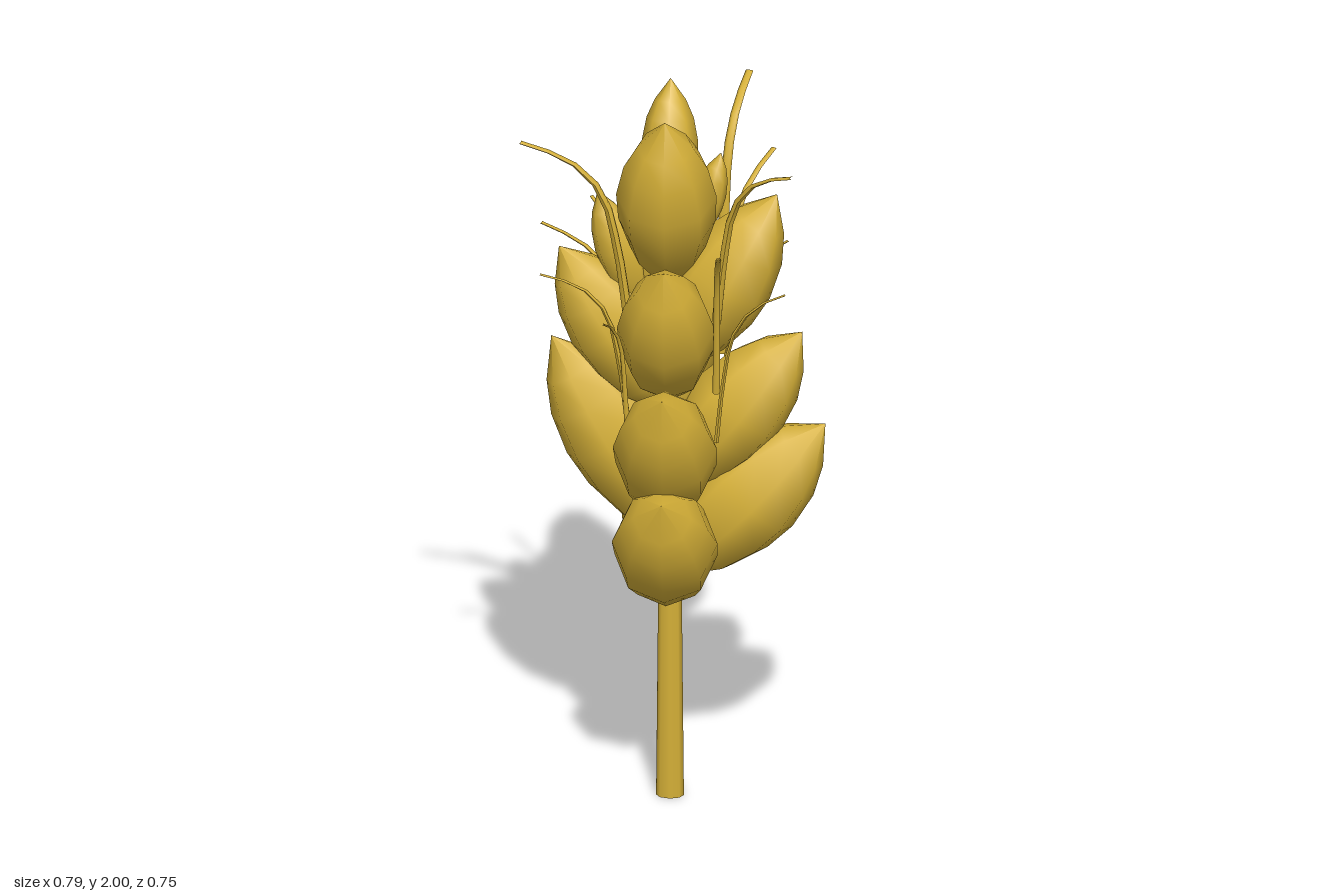
import * as THREE from 'three';

const golden = new THREE.MeshStandardMaterial({ color: 0xd4af37 });
golden.name = 'golden straw';

const UP = new THREE.Vector3(0, 1, 0);

// Plump kernel with a round base and a straight pointed tip: [radius, height], unit size
const KERNEL = [[0, 0], [0.4, 0.04], [0.76, 0.18], [0.97, 0.36], [1, 0.52], [0.84, 0.7], [0.55, 0.84], [0, 1]];

function kernel(name, base, tip, radius) {
  const a = new THREE.Vector3(...base);
  const dir = new THREE.Vector3(...tip).sub(a);
  const length = dir.length();
  const profile = KERNEL.map(([r, h]) => new THREE.Vector2(r * radius, h * length));
  const mesh = new THREE.Mesh(new THREE.LatheGeometry(profile, 8), golden);
  mesh.name = name;
  mesh.position.copy(a);
  mesh.quaternion.setFromUnitVectors(UP, dir.normalize());
  return mesh;
}

// Bristle that rises between the kernels, bends outward and flattens into a blade
function awn(tip, baseY, radius) {
  const [x, y, z] = tip;
  const bx = Math.sign(x) * Math.min(0.115, Math.abs(x)), bz = Math.sign(z) * Math.min(0.125, Math.abs(z));
  const rise = y - baseY;
  const at = (k, h) => new THREE.Vector3(bx + (x - bx) * k, baseY + rise * h, bz + (z - bz) * k);
  const curve = new THREE.CatmullRomCurve3([at(0, 0), at(0.1, 0.4), at(0.25, 0.72), at(0.55, 0.9), at(1, 1)]);
  const steps = 8, sides = 6;
  const geometry = new THREE.TubeGeometry(curve, steps, radius, sides);
  const pos = geometry.attributes.position;
  for (let i = 0; i < pos.count; i++) {
    const t = Math.floor(i / (sides + 1)) / steps;
    const centre = curve.getPointAt(t);
    const offset = new THREE.Vector3().fromBufferAttribute(pos, i).sub(centre).multiplyScalar(1.4 - 0.5 * t);
    offset.y *= 0.35;
    pos.setXYZ(i, ...centre.add(offset).toArray());
  }
  geometry.computeVertexNormals();
  const mesh = new THREE.Mesh(geometry, golden);
  mesh.name = 'awn';
  return mesh;
}

export function createModel() {
  const model = new THREE.Group();
  model.name = 'wheatEar';

  // Stem, slightly flattened and tapering upward
  const stem = new THREE.Mesh(new THREE.CylinderGeometry(0.021, 0.036, 1.6, 8), golden);
  stem.name = 'stem';
  stem.scale.z = 0.68;
  stem.position.set(-0.011, 0.8, 0.008);
  model.add(stem);

  // Four columns of kernels: [base out, base y, tip out, tip y, radius]
  const columns = {
    frontKernel: { dir: [0, 1], shift: [-0.015, 0], rows: [
      [0, 0.6, 0.375, 0.99, 0.137], [0, 0.84, 0.35, 1.275, 0.135],
      [-0.01, 1.15, 0.265, 1.6, 0.127], [0.02, 1.49, 0.2, 2, 0.13]] },
    backKernel: { dir: [0, -1], shift: [-0.015, 0], rows: [
      [0, 0.6, 0.32, 0.955, 0.13], [0, 0.81, 0.335, 1.24, 0.133],
      [0, 1.07, 0.32, 1.49, 0.128], [0, 1.37, 0.25, 1.81, 0.115],
      [0.03, 1.65, 0.1, 1.99, 0.073]] },
    leftKernel: { dir: [1, 0], shift: [0, -0.015], rows: [
      [0, 0.65, 0.39, 1.055, 0.142], [0, 0.89, 0.33, 1.315, 0.13],
      [-0.01, 1.22, 0.265, 1.705, 0.13], [0.06, 1.58, 0.12, 1.82, 0.043]] },
    rightKernel: { dir: [-1, 0], shift: [0, -0.025], rows: [
      [-0.01, 0.74, 0.32, 1.285, 0.138], [0.01, 1.1, 0.3, 1.54, 0.125],
      [0.09, 1.38, 0.2, 1.7, 0.062]] },
  };
  for (const [name, { dir, shift, rows }] of Object.entries(columns)) {
    const column = new THREE.Group();
    column.name = name + 'Column';
    const place = (out, y) => [dir[0] * out + shift[0], y, dir[1] * out + shift[1]];
    for (const [b, by, t, ty, r] of rows) column.add(kernel(name, place(b, by), place(t, ty), r));
    model.add(column);
  }

  // Awns: [tip, base height, thickness]
  const awns = new THREE.Group();
  awns.name = 'awns';
  const tips = [
    [[0.175, 1.89, -0.375], 1.4, 0.011], [[0.32, 1.89, 0.285], 1.4, 0.01], [[-0.395, 1.89, 0.1], 1.4, 0.01],
    [[0.24, 1.685, -0.345], 1.2, 0.008], [[0.135, 1.685, 0.36], 1.2, 0.007], [[-0.355, 1.525, -0.2], 1.12, 0.007],
    [[-0.34, 1.55, 0.175], 1.12, 0.006], [[-0.23, 1.56, -0.295], 1.12, 0.006], [[-0.175, 1.44, 0.235], 1.06, 0.005],
    [[-0.155, 1.45, -0.285], 1.06, 0.005], [[0.095, 1.45, -0.285], 1.06, 0.005], [[0.285, 1.495, -0.185], 1.06, 0.005],
    [[0.295, 1.49, 0.14], 1.06, 0.005],
  ];
  for (const [tip, baseY, radius] of tips) awns.add(awn(tip, baseY, radius));
  model.add(awns);

  return model;
}
